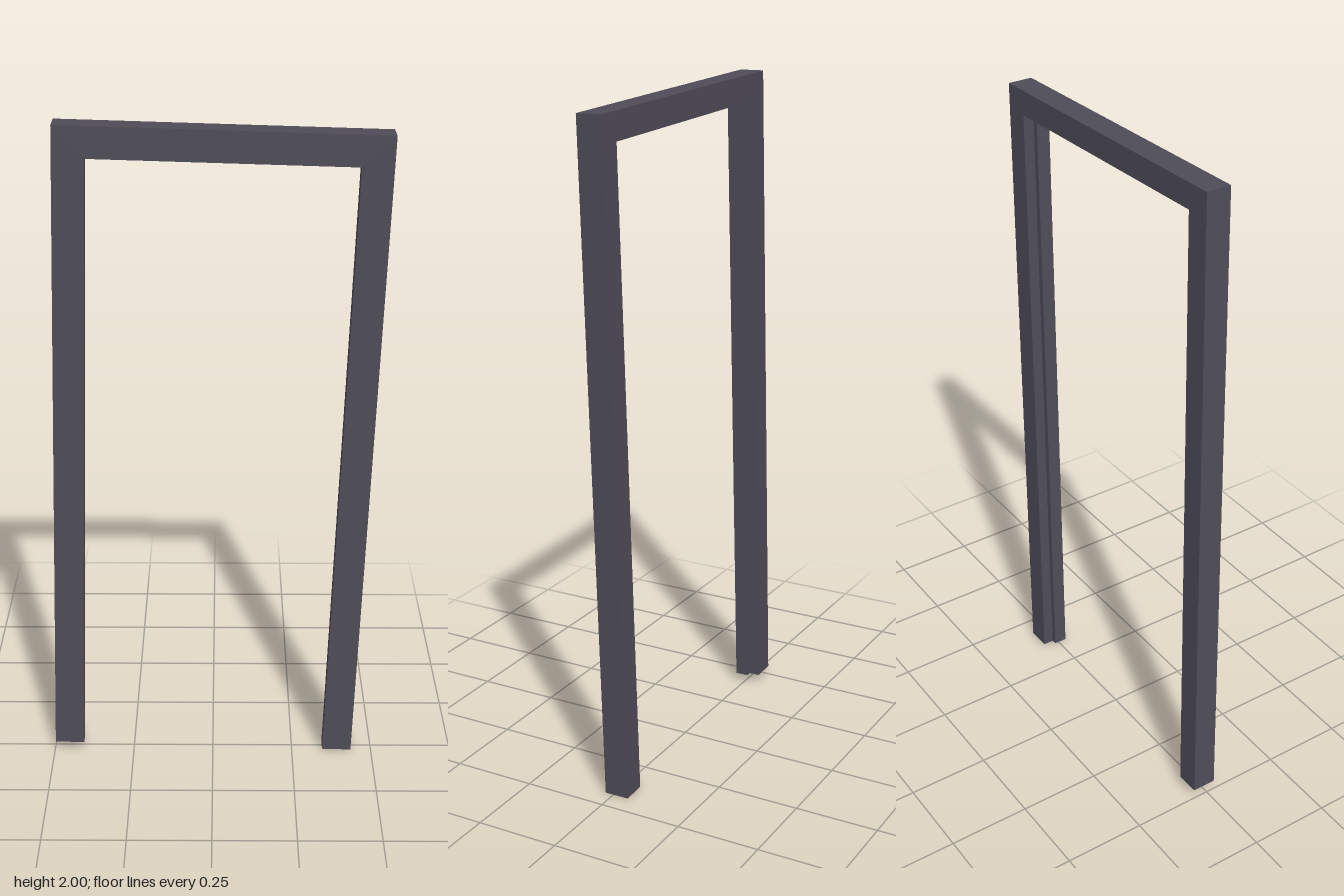
import * as THREE from 'three';

const HALF_W = 0.467, HALF_H = 0.985, HALF_D = 0.037;

// Rebated section as [inset from outer edge, z]: wide lip in front, narrower behind
const FACE = 0.09, BACK = 0.073, STEP = -0.004;
const section = [
  [0, -HALF_D], [0, HALF_D], [FACE, HALF_D],
  [FACE, STEP], [BACK, STEP], [BACK, -HALF_D],
];

// Foot, two mitred corners, foot
const stations = [
  (d, z) => [-HALF_W + d, -HALF_H, z],
  (d, z) => [-HALF_W + d, HALF_H - d, z],
  (d, z) => [HALF_W - d, HALF_H - d, z],
  (d, z) => [HALF_W - d, -HALF_H, z],
];

function frameGeometry() {
  const n = section.length, last = stations.length - 1;
  const positions = [];
  const tri = (...corners) => corners.forEach(([s, i]) =>
    positions.push(...stations[s](...section[i % n])));

  // Sides of the two jambs and the head
  for (let s = 0; s < last; s++) {
    for (let i = 0; i < n; i++) {
      tri([s, i], [s, i + 1], [s + 1, i + 1]);
      tri([s, i], [s + 1, i + 1], [s + 1, i]);
    }
  }
  // Feet, fanned from the inner corner of the rebate
  for (let k = 5; k < 9; k++) {
    tri([0, 4], [0, k + 1], [0, k]);
    tri([last, 4], [last, k], [last, k + 1]);
  }

  const geometry = new THREE.BufferGeometry();
  geometry.setAttribute('position', new THREE.Float32BufferAttribute(positions, 3));
  geometry.computeVertexNormals();
  return geometry;
}

export function createModel() {
  const group = new THREE.Group();
  group.name = 'doorway';

  const material = new THREE.MeshStandardMaterial({ color: 0x4f4c57, flatShading: true });
  const frame = new THREE.Mesh(frameGeometry(), material);
  frame.name = 'doorFrame';
  // The whole frame leans slightly
  frame.position.y = 1;
  frame.rotation.set(0.01, 0.003, -0.031);
  group.add(frame);

  return group;
}
